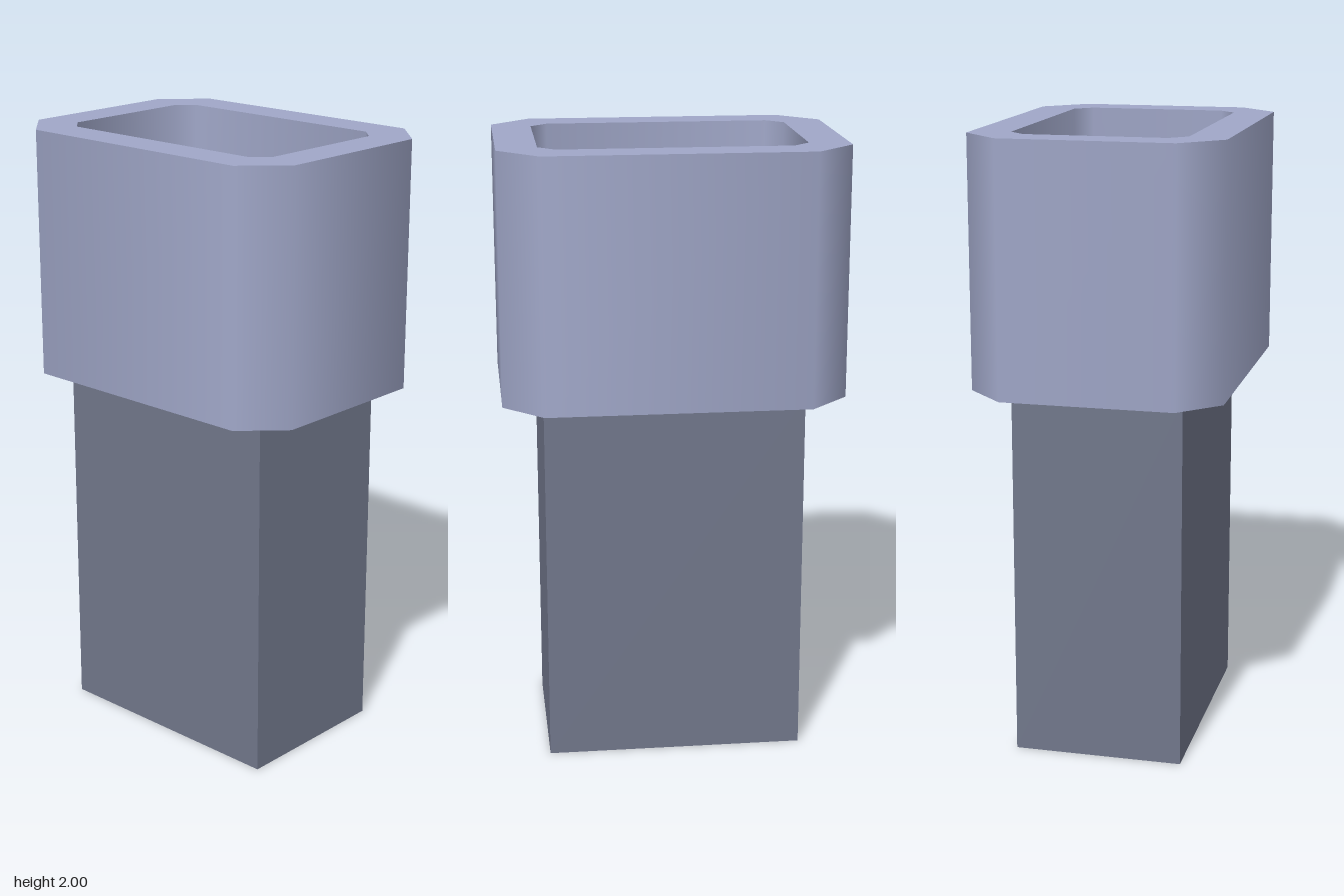
import * as THREE from 'three';

const BASE = 1.2, TOP = 2, FLOOR = 1.27;
const OUTER = { x: 0.4, z: 0.543, cut: 0.126 };
const INNER = { x: 0.275, z: 0.416, cut: 0.053 };

// Corners of a rectangle with chamfered corners, each with its smooth normal
function corners({ x, z, cut }) {
  return Array.from({ length: 8 }, (_, i) => {
    const a = (i + 0.5) * Math.PI / 4, c = Math.cos(a), s = Math.sin(a);
    const nearSide = Math.abs(c) > Math.abs(s);
    return {
      x: Math.sign(c) * (nearSide ? x : x - cut),
      z: Math.sign(s) * (nearSide ? z - cut : z),
      nx: c, nz: s,
    };
  });
}

// Smooth vertical wall; facing is 1 for outward, -1 for inward
function wall(size, y0, y1, facing) {
  const pos = [], nor = [], idx = [];
  for (const p of corners(size)) {
    pos.push(p.x, y0, p.z, p.x, y1, p.z);
    for (let k = 0; k < 2; k++) nor.push(p.nx * facing, 0, p.nz * facing);
  }
  for (let i = 0; i < 8; i++) {
    const a = 2 * i, b = 2 * ((i + 1) % 8);
    if (facing > 0) idx.push(a, a + 1, b, b, a + 1, b + 1);
    else idx.push(a, b, a + 1, b, b + 1, a + 1);
  }
  const g = new THREE.BufferGeometry();
  g.setAttribute('position', new THREE.Float32BufferAttribute(pos, 3));
  g.setAttribute('normal', new THREE.Float32BufferAttribute(nor, 3));
  g.setIndex(idx);
  return g;
}

// Flat chamfered plate, optionally with an opening, facing up or down
function plate(size, y, up, opening) {
  const outline = s => corners(s).map(p => new THREE.Vector2(p.x, p.z));
  const shape = new THREE.Shape(outline(size));
  if (opening) shape.holes.push(new THREE.Path(outline(opening)));
  return new THREE.ShapeGeometry(shape)
    .rotateX(up ? -Math.PI / 2 : Math.PI / 2)
    .translate(0, y, 0);
}

export function createModel() {
  const collarBlue = new THREE.MeshStandardMaterial({ color: 0xa0a7c8 });
  collarBlue.name = 'collar blue grey';
  const postGrey = new THREE.MeshStandardMaterial({ color: 0x71778b });
  postGrey.name = 'post dark grey';

  const model = new THREE.Group();
  model.name = 'socketedPost';
  const add = (parent, name, geometry, material) => {
    const mesh = new THREE.Mesh(geometry, material);
    mesh.name = name;
    parent.add(mesh);
  };

  // Square-edged post
  add(model, 'post', new THREE.BoxGeometry(0.545, BASE, 0.83).translate(0, BASE / 2, 0), postGrey);

  // Hollow chamfered collar
  const collar = new THREE.Group();
  collar.name = 'collar';
  model.add(collar);
  add(collar, 'collarOuterWall', wall(OUTER, BASE, TOP, 1), collarBlue);
  add(collar, 'collarInnerWall', wall(INNER, FLOOR, TOP, -1), collarBlue);
  add(collar, 'collarRim', plate(OUTER, TOP, true, INNER), collarBlue);
  add(collar, 'socketFloor', plate(INNER, FLOOR, true), collarBlue);
  add(collar, 'collarUnderside', plate(OUTER, BASE, false), collarBlue);
  return model;
}
